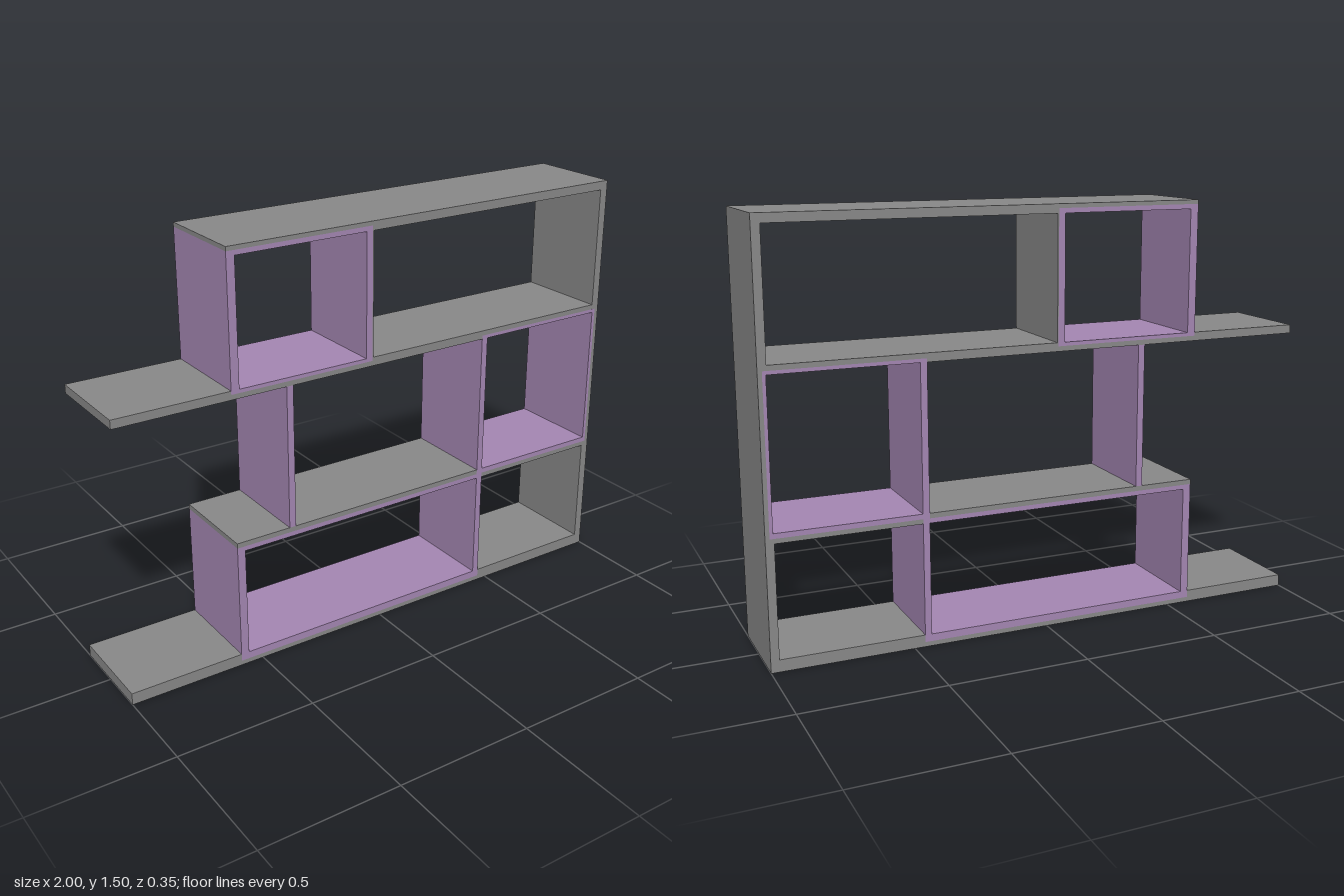
import * as THREE from 'three';

const DEPTH = 0.35;

export function createModel() {
  const model = new THREE.Group();
  model.name = 'shelvingUnit';
  const grey = new THREE.MeshStandardMaterial({ color: 0x888888 });
  const purple = new THREE.MeshStandardMaterial({ color: 0xa486b2 });

  // A full-depth board given by its front rectangle
  function board(parent, name, material, x0, x1, y0, y1) {
    const mesh = new THREE.Mesh(new THREE.BoxGeometry(x1 - x0, y1 - y0, DEPTH), material);
    mesh.position.set((x0 + x1) / 2, (y0 + y1) / 2, 0);
    mesh.name = name;
    parent.add(mesh);
  }
  function section(name) {
    const group = new THREE.Group();
    group.name = name;
    model.add(group);
    return group;
  }

  // Grey outer frame; the side board is thinner behind the middle cell
  const frame = section('frame');
  board(frame, 'sideLower', grey, 0.97, 1, 0, 0.46);
  board(frame, 'sideMiddle', grey, 0.985, 1, 0.46, 1.01);
  board(frame, 'sideUpper', grey, 0.97, 1, 1.01, 1.5);
  board(frame, 'topBoard', grey, -0.585, 0.97, 1.485, 1.5);
  board(frame, 'topBoardLower', grey, -0.037, 0.97, 1.468, 1.485);

  // Grey shelves, recessed where a purple lining sits in them
  const shelves = section('shelves');
  board(shelves, 'bottomShelf', grey, -1, 0.97, 0, 0.017);
  board(shelves, 'bottomShelfLeft', grey, -1, -0.585, 0.017, 0.043);
  board(shelves, 'bottomShelfRight', grey, 0.462, 0.97, 0.017, 0.043);
  board(shelves, 'lowerShelf', grey, -0.585, 0.438, 0.46, 0.478);
  board(shelves, 'lowerShelfRight', grey, 0.462, 0.97, 0.443, 0.46);
  board(shelves, 'upperShelf', grey, -1, 0.97, 1.01, 1.015);
  board(shelves, 'upperShelfUnderside', grey, -1, 0.438, 0.997, 1.01);
  board(shelves, 'upperShelfLeft', grey, -1, -0.585, 1.015, 1.028);
  board(shelves, 'upperShelfRight', grey, -0.037, 0.97, 1.015, 1.028);

  // Purple lower wide box
  const lowerBox = section('lowerBox');
  board(lowerBox, 'floor', purple, -0.555, 0.438, 0.017, 0.043);
  board(lowerBox, 'ceiling', purple, -0.555, 0.438, 0.443, 0.46);
  board(lowerBox, 'leftPanel', purple, -0.585, -0.555, 0.017, 0.46);
  board(lowerBox, 'rightPanel', purple, 0.438, 0.462, 0.017, 0.46);

  // Purple middle box on the right and the free divider
  const middleBox = section('middleBox');
  board(middleBox, 'floor', purple, 0.462, 0.973, 0.46, 0.478);
  board(middleBox, 'ceiling', purple, 0.462, 0.973, 0.997, 1.01);
  board(middleBox, 'leftPanel', purple, 0.438, 0.462, 0.46, 1.01);
  board(middleBox, 'rightPanel', purple, 0.973, 0.985, 0.46, 1.01);
  board(model, 'middleDivider', purple, -0.38, -0.355, 0.478, 0.997);

  // Purple upper small box, its right panel faced in grey
  const upperBox = section('upperBox');
  board(upperBox, 'floor', purple, -0.555, -0.065, 1.015, 1.028);
  board(upperBox, 'ceiling', purple, -0.555, -0.065, 1.468, 1.485);
  board(upperBox, 'leftPanel', purple, -0.585, -0.555, 1.015, 1.485);
  board(upperBox, 'rightPanel', purple, -0.065, -0.041, 1.015, 1.485);
  board(upperBox, 'rightPanelFacing', grey, -0.041, -0.037, 1.015, 1.485);

  return model;
}
